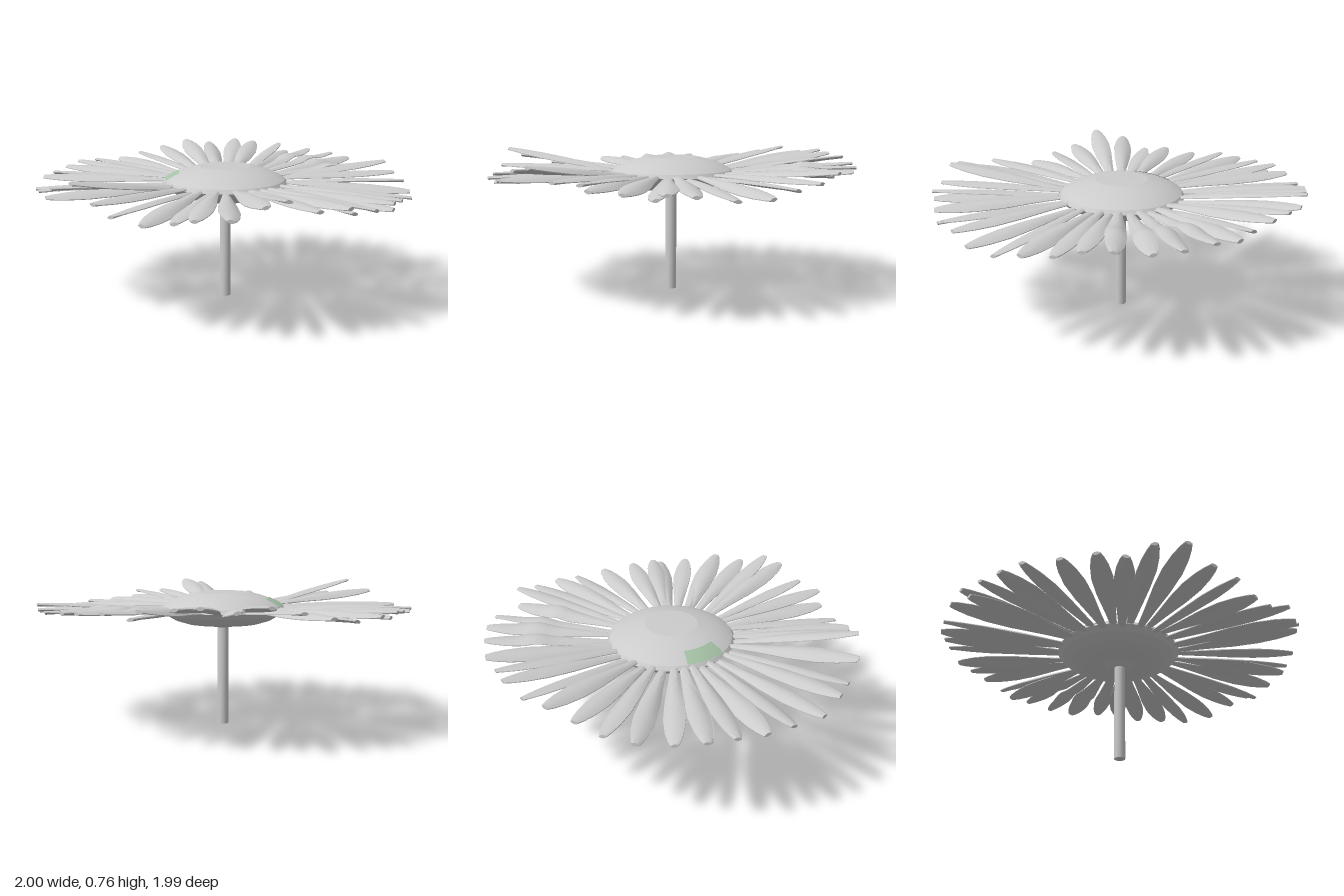
import * as THREE from 'three';
import { toCreasedNormals } from 'three/addons/utils/BufferGeometryUtils.js';

const grey = () => new THREE.MeshStandardMaterial({ color: 0xcccccc });

// Petal tips as [x, height, z], clockwise from the back
const TIPS = [
  [-0.01, 0.73, -1], [0.11, 0.72, -0.98], [0.27, 0.71, -0.96], [0.32, 0.67, -0.92],
  [0.46, 0.69, -0.88], [0.6, 0.68, -0.8], [0.7, 0.67, -0.7], [0.76, 0.66, -0.53],
  [0.9, 0.69, -0.46], [0.94, 0.65, -0.33], [0.98, 0.63, -0.17], [1, 0.6, -0.02],
  [0.99, 0.6, 0.16], [0.92, 0.62, 0.33], [0.86, 0.61, 0.5], [0.77, 0.63, 0.62],
  [0.64, 0.67, 0.77], [0.5, 0.67, 0.85], [0.36, 0.73, 0.92], [0.26, 0.71, 0.96],
  [0.11, 0.65, 0.98], [-0.05, 0.65, 0.99], [-0.15, 0.62, 0.92], [-0.3, 0.6, 0.89],
  [-0.45, 0.63, 0.85], [-0.55, 0.67, 0.77], [-0.67, 0.75, 0.69], [-0.8, 0.7, 0.57],
  [-0.86, 0.63, 0.45], [-0.93, 0.64, 0.33], [-0.99, 0.62, 0.17], [-1, 0.65, -0.03],
  [-0.98, 0.65, -0.17], [-0.94, 0.66, -0.31], [-0.9, 0.67, -0.45], [-0.82, 0.66, -0.57],
  [-0.7, 0.65, -0.7], [-0.59, 0.67, -0.8], [-0.46, 0.7, -0.87], [-0.32, 0.73, -0.94],
  [-0.17, 0.71, -0.98],
  // Extra petals half hidden behind their neighbours
  [0.66, 0.64, 0.74], [0.87, 0.63, 0.45], [-0.87, 0.64, -0.42],
];

// Half width along the petal, interpolated between [t, halfWidth] stations
const WIDTHS = [
  [0, 0.015], [0.25, 0.03], [0.5, 0.048], [0.7, 0.054], [0.85, 0.045], [0.95, 0.031], [1, 0.019],
];
function halfWidth(t) {
  const i = Math.max(1, WIDTHS.findIndex(([s]) => s >= t - 1e-6));
  const [t0, w0] = WIDTHS[i - 1], [t1, w1] = WIDTHS[i];
  return w0 + (w1 - w0) * (t - t0) / (t1 - t0);
}

// Thin lens-shaped blade running outward along +z from the disc to its tip
function petalGeometry(length, rise, roll, bump) {
  const geo = new THREE.BoxGeometry(2, 2, 1, 6, 1, 20);
  const p = geo.attributes.position;
  for (let i = 0; i < p.count; i++) {
    const u = p.getX(i), side = p.getY(i), t = p.getZ(i) + 0.5;
    const across = u * halfWidth(t);
    const thick = 0.002 + 0.007 * (1 - u * u);
    const arch = 0.01 * (1 - u * u) * Math.sin(Math.PI * t);
    const twist = roll * Math.min(1, t * 2);
    const crumple = bump * Math.exp(-(((t - 0.62) / 0.09) ** 2));
    const h = arch + side * thick;
    p.setXYZ(i,
      across * Math.cos(twist) - h * Math.sin(twist),
      across * Math.sin(twist) + h * Math.cos(twist) + rise * t + crumple,
      t * length);
  }
  return toCreasedNormals(geo, 0.7);
}

export function createModel() {
  const flower = new THREE.Group();
  flower.name = 'flower';
  const add = (name, geometry, parent = flower, material = grey()) => {
    const mesh = new THREE.Mesh(geometry, material);
    mesh.name = name;
    parent.add(mesh);
    return mesh;
  };

  // Stem
  const stem = add('stem', toCreasedNormals(new THREE.CylinderGeometry(0.03, 0.03, 0.56, 16), 0.7));
  stem.position.set(0.007, 0.28, -0.007);

  // Domed flower head with a small collar underneath
  const profile = [
    [0, 0.54], [0.055, 0.54], [0.085, 0.556], [0.2, 0.56], [0.26, 0.578], [0.31, 0.607],
    [0.34, 0.637], [0.325, 0.658], [0.295, 0.677], [0.25, 0.697], [0.2, 0.713], [0.14, 0.727], [0, 0.728],
  ].map(([r, y]) => new THREE.Vector2(r, y));
  const head = add('flowerHead', toCreasedNormals(new THREE.LatheGeometry(profile, 36), 0.2));
  head.position.set(0.005, 0, -0.014);

  // Green tint on the rim of the head, on the right-hand side
  const rim = profile.slice(7, 10).map(v => new THREE.Vector2(v.x + 0.001, v.y + 0.002));
  add('greenPatch', new THREE.LatheGeometry(rim, 4, Math.PI * 1.5 - Math.PI / 9, Math.PI * 2 / 9),
    head, new THREE.MeshStandardMaterial({ color: 0xa5c2a6, side: THREE.DoubleSide }));

  // Ring of petals, each with its own droop and roll
  const petals = new THREE.Group();
  petals.name = 'petals';
  flower.add(petals);
  const root = 0.28;
  TIPS.forEach(([x, y, z], i) => {
    const baseY = 0.63 + 0.012 * (i % 2);
    const roll = 0.25 * Math.sin(i * 2.4);
    const bump = i >= 4 && i <= 7 ? 0.015 : 0;
    const angle = Math.atan2(x, z);
    const petal = add('petal', petalGeometry(Math.hypot(x, z) - root, y - baseY, roll, bump), petals);
    petal.position.set(root * Math.sin(angle), baseY, root * Math.cos(angle));
    petal.rotation.y = angle;
  });
  return flower;
}
